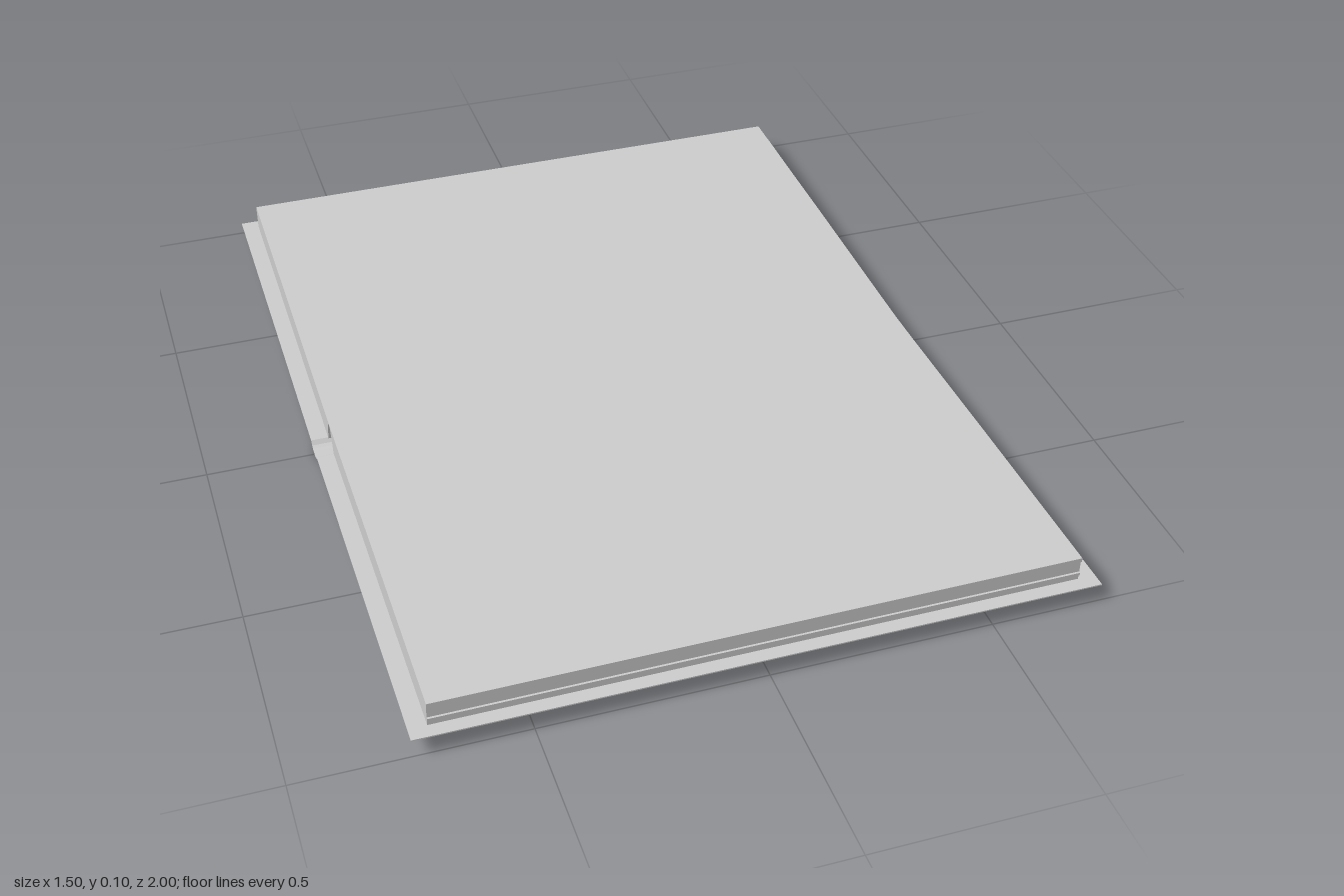
import * as THREE from 'three';

const material = new THREE.MeshStandardMaterial({
  color: 0xcccccc, flatShading: true, side: THREE.DoubleSide,
});

// Extrudes a [z, y] profile across the width of the book, centred on x = 0.
function acrossWidth(name, profile, width) {
  const shape = new THREE.Shape(profile.map(([z, y]) => new THREE.Vector2(z, y)));
  const geometry = new THREE.ExtrudeGeometry(shape, { depth: width, bevelEnabled: false });
  geometry.rotateY(-Math.PI / 2);
  geometry.translate(width / 2, 0, 0);
  const mesh = new THREE.Mesh(geometry, material);
  mesh.name = name;
  return mesh;
}

// Gives a [z, y] line a constant thickness upwards.
const thicken = (line, t) => [...line, ...line.map(([z, y]) => [z, y + t]).reverse()];

export function createModel() {
  const book = new THREE.Group();
  book.name = 'openBook';
  const coverWidth = 1.5, pageWidth = 1.42, coverThickness = 0.003;

  // Cover boards, rising gently away from the spine
  book.add(acrossWidth('frontCover',
    thicken([[0.033, 0.013], [1, 0.042]], coverThickness), coverWidth));
  book.add(acrossWidth('backCover',
    thicken([[-1, 0.026], [-0.033, 0.013]], coverThickness), coverWidth));

  // Shallow rounded spine between the boards
  const spine = [];
  for (let i = 0; i <= 8; i++) {
    const s = i / 4 - 1;
    spine.push([0.033 * s, 0.013 * s * s * s * s]);
  }
  book.add(acrossWidth('spine', thicken(spine, coverThickness), coverWidth));

  // Both page blocks, joined over the hollow behind the spine
  book.add(acrossWidth('pages', [
    [0.03, 0.015], [0.968, 0.043],
    [0.968, 0.056], [0.972, 0.057], [0.972, 0.064], [0.968, 0.065],
    [0.968, 0.094], [0.972, 0.095], [0.972, 0.105],
    [0.5, 0.093], [0.1, 0.081], [0, 0.079], [-0.1, 0.08], [-0.5, 0.086],
    [-0.972, 0.09], [-0.972, 0.028],
    [-0.03, 0.015], [-0.022, 0.045], [-0.01, 0.072], [0, 0.076], [0.01, 0.072], [0.022, 0.045],
  ], pageWidth));

  return book;
}
